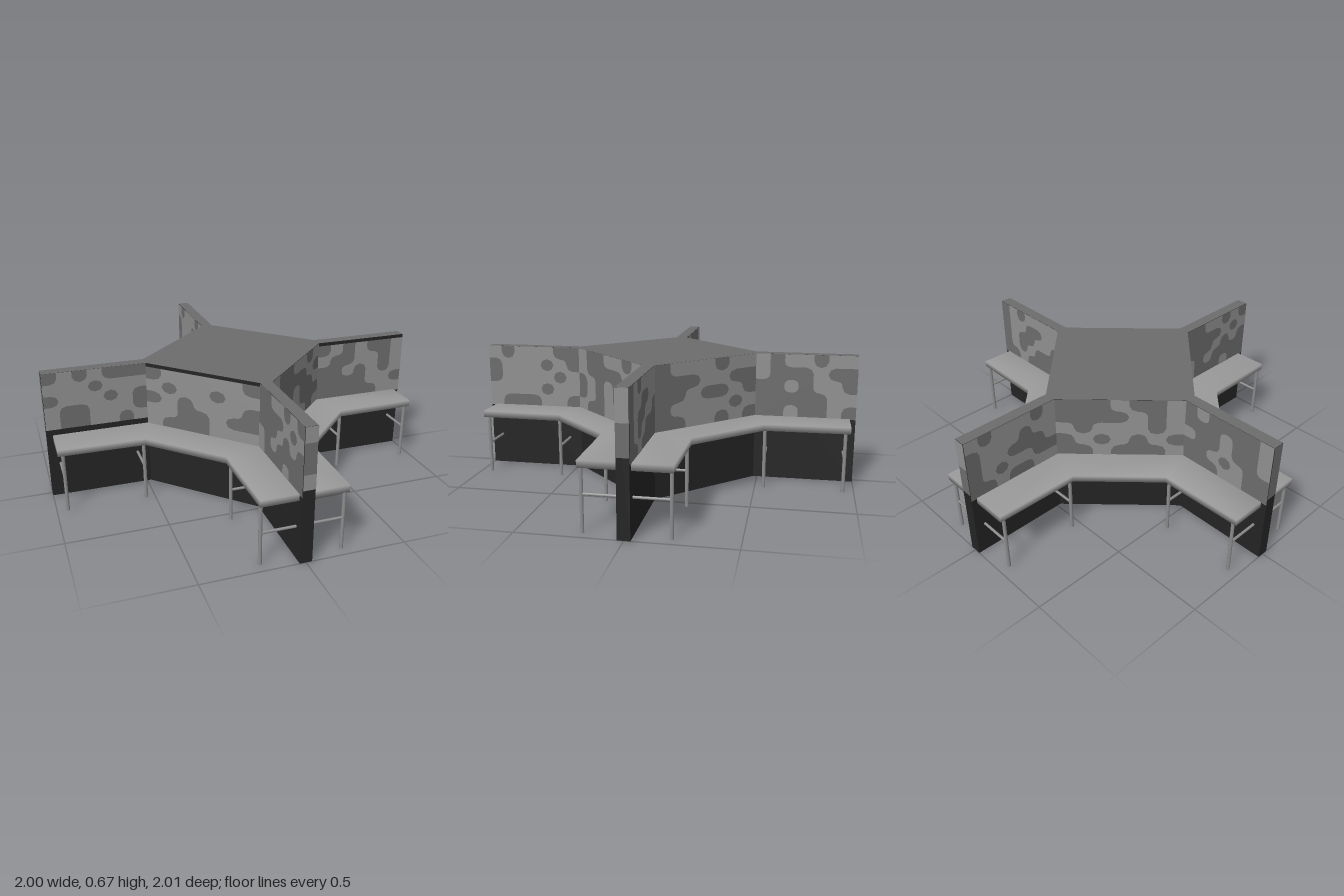
import * as THREE from 'three';
import { mergeGeometries, mergeVertices } from 'three/addons/utils/BufferGeometryUtils.js';

const mat = (name, color, side = THREE.FrontSide) => {
  const m = new THREE.MeshStandardMaterial({ color, side });
  m.name = name;
  return m;
};

function seeded(seed) {
  let s = (seed * 7919 + 12345) % 2147483647;
  const next = () => (s = (s * 16807) % 2147483647) / 2147483647;
  next(); next(); next();
  return next;
}

// Flat outline of [x, z] points, as a shape that is laid down with rotateX(-90 degrees)
const plan = (pts) => new THREE.Shape(pts.map(([x, z]) => new THREE.Vector2(x, -z)));

// Blobby two-tone pattern: grid cells with rounded outer and filled inner corners
function blobGeometry(w, h, cols, rows, seed) {
  const rnd = seeded(seed);
  const cells = Array.from({ length: rows }, () => Array.from({ length: cols }, () => rnd() < 0.45));
  const clamp = THREE.MathUtils.clamp;
  const on = (c, r) => cells[clamp(r, 0, rows - 1)][clamp(c, 0, cols - 1)];
  const cw = w / cols, ch = h / rows, shapes = [];
  const corners = [[-1, -1], [1, -1], [1, 1], [-1, 1]];
  for (let r = 0; r < rows; r++) for (let c = 0; c < cols; c++) {
    const mx = (c + 0.5) * cw, my = (r + 0.5) * ch, lit = on(c, r);
    const cell = new THREE.Shape();
    cell.moveTo(mx - cw / 2, my);
    corners.forEach(([sx, sy], i) => {
      const px = mx + sx * cw / 2, py = my + sy * ch / 2;
      const a = on(c + sx, r), b = on(c, r + sy), d = on(c + sx, r + sy);
      const end = i % 2 ? [px, my] : [mx, py];
      if (lit) {
        if (!a && !b && !d) cell.quadraticCurveTo(px, py, ...end);
        else cell.lineTo(px, py).lineTo(...end);
      } else if (a && b) {
        const fillet = new THREE.Shape();
        fillet.moveTo(px, py).lineTo(mx, py).quadraticCurveTo(px, py, px, my);
        const mid = new THREE.Vector2(px + (mx - px) * 0.3, py + (my - py) * 0.3);
        shapes.push(new THREE.Shape([
          new THREE.Vector2(px, py), new THREE.Vector2(mx, py), mid, new THREE.Vector2(px, my)]));
      }
    });
    if (lit) shapes.push(cell);
  }
  return shapes.length ? new THREE.ShapeGeometry(shapes, 5) : null;
}

export function createModel() {
  const model = new THREE.Group();
  const dark = mat('dark base', 0x242424);
  const mid = mat('mid grey', 0x6c6c6c);
  const light = mat('light grey', 0x909090);
  const benchMat = mat('bench grey', 0x9a9a9a);
  const metal = mat('leg metal', 0x8c8c8c);
  const add = (parent, name, geo, material) => {
    const m = new THREE.Mesh(geo, material);
    m.name = name;
    parent.add(m);
    return m;
  };

  // Central diamond with four thin wall arms
  const T = 0.03, D = 0.48, H = 0.67;
  const outline = [];
  for (let k = 0; k < 4; k++) {
    const c = [1, 0, -1, 0][k], s = [0, 1, 0, -1][k];
    for (const [x, z] of [[-1, T], [-D, T], [-T, D], [-T, 1]]) outline.push([x * c + z * s, z * c - x * s]);
  }
  const wallShape = plan(outline);
  add(model, 'wallBody', new THREE.ExtrudeGeometry(wallShape, { depth: H - 0.001, bevelEnabled: false })
    .rotateX(-Math.PI / 2), dark);
  add(model, 'wallTop', new THREE.ShapeGeometry(wallShape).rotateX(-Math.PI / 2).translate(0, H, 0), mid);

  // Patterned panels on the upper part of every wall face
  const low = { 0: 0.37 }, high = { 1: 0.652, 6: 0.652 };
  outline.forEach(([ax, az], i) => {
    const [bx, bz] = outline[(i + 1) % outline.length];
    const isEnd = i % 4 === 3;
    const y0 = isEnd ? 0.37 : low[i] ?? 0.335, y1 = high[i] ?? H;
    const w = Math.hypot(bx - ax, bz - az), h = y1 - y0;
    const panel = new THREE.Group();
    panel.name = 'patternPanel';
    panel.position.set(ax, y0, az);
    panel.rotation.y = Math.atan2(-(bz - az), bx - ax);
    add(panel, 'panelGround', new THREE.PlaneGeometry(w, h).translate(w / 2, h / 2, 0.0015), mid);
    const blobs = blobGeometry(w, h, isEnd ? 1 : 7, isEnd ? 4 : 5, i + 3);
    if (blobs) add(panel, 'panelBlobs', blobs.translate(0, 0, 0.003), light);
    model.add(panel);
  });

  // One bent bench with four legs in each quadrant
  const benchPts = [[0.97, T], [0.97, 0.212], [0.54, 0.22], [0.22, 0.54], [0.212, 0.97], [T, 0.97], [T, D], [D, T]];
  for (const sx of [1, -1]) for (const sz of [1, -1]) {
    const bench = new THREE.Group();
    bench.name = 'bench';
    model.add(bench);
    let top = new THREE.ExtrudeGeometry(plan(benchPts.map(([x, z]) => [x * sx, z * sz])),
      { depth: 0.034, bevelEnabled: false }).rotateX(-Math.PI / 2).translate(0, 0.306, 0);
    // Shared corners give the soft shading of the slab
    top.deleteAttribute('normal');
    top.deleteAttribute('uv');
    top = mergeVertices(top, 1e-4);
    top.computeVertexNormals();
    add(bench, 'benchTop', top, benchMat);

    const parts = [];
    for (const along of [0.545, 0.945]) for (const onX of [true, false]) {
      const [x, z] = onX ? [along, 0.2] : [0.2, along];
      parts.push(new THREE.CylinderGeometry(0.009, 0.009, 0.306, 10).translate(x * sx, 0.153, z * sz));
      // Brace from the leg to the wall arm
      const bar = new THREE.CylinderGeometry(0.007, 0.007, 0.18, 8);
      if (onX) bar.rotateX(Math.PI / 2).translate(x * sx, 0.18, 0.11 * sz);
      else bar.rotateZ(Math.PI / 2).translate(0.11 * sx, 0.163, z * sz);
      parts.push(bar);
    }
    add(bench, 'benchLegs', mergeGeometries(parts), metal);
  }
  return model;
}
